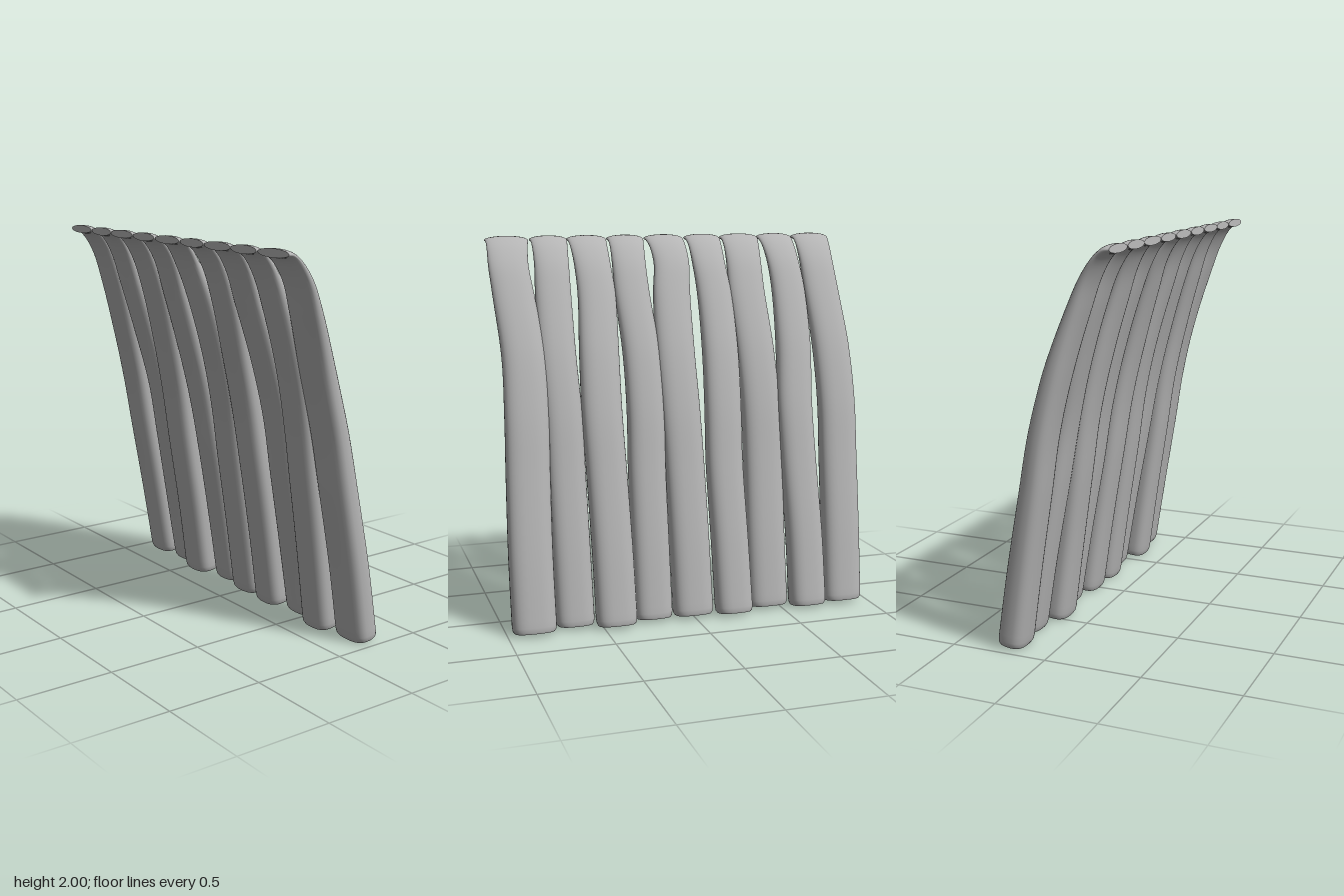
import * as THREE from 'three';

const SIDES = 32, STEPS = 54;

// Shared side profile, bottom to tip: y, z, thickness, width factor
const PROFILE = [
  [0.015, -0.22, 0.15, 1], [0.4, -0.16, 0.145, 1], [0.8, -0.09, 0.135, 1],
  [1.1, -0.037, 0.125, 1], [1.4, 0.037, 0.115, 0.99], [1.7, 0.135, 0.09, 0.95],
  [1.85, 0.195, 0.07, 0.92], [1.94, 0.253, 0.052, 0.94], [1.975, 0.296, 0.045, 0.98],
  [1.98, 0.33, 0.042, 1],
];

// Each slat: centre x, width, z shift at the foot, sideways sway at each profile point
const SLATS = [
  [-0.86, 0.213, -0.005, [0, -0.01, -0.02, -0.027, -0.02, 0, 0.005, 0.003, 0, 0]],
  [-0.645, 0.2, -0.03, [0, 0, 0.01, 0.012, -0.01, -0.018, -0.01, -0.003, 0, 0]],
  [-0.435, 0.217, 0.03, [0, 0, -0.008, -0.01, 0, 0.015, 0.01, 0.004, 0, 0]],
  [-0.22, 0.2, -0.03, [0, 0.005, 0.01, 0, -0.01, -0.01, 0, 0, 0, 0]],
  [0, 0.215, 0.005, [0, 0.003, 0.008, 0.015, 0.02, 0.008, -0.01, -0.006, 0, 0]],
  [0.217, 0.2, 0.015, [0, 0, -0.003, -0.012, -0.01, 0.01, 0.01, 0.004, 0, 0]],
  [0.43, 0.213, -0.035, [0, 0.003, 0.01, 0.016, 0.008, -0.008, -0.003, 0, 0, 0]],
  [0.637, 0.2, 0.03, [0, 0.004, 0.008, 0.01, 0.02, 0.015, 0.008, 0.003, 0, 0]],
  [0.86, 0.228, -0.015, [0, 0, -0.01, -0.02, -0.025, 0, 0.012, 0.006, 0, 0]],
];

// Lofts rounded cross-sections along the curved spine and closes both ends
function slatGeometry([x, width, footShift, sway]) {
  const spine = new THREE.CatmullRomCurve3(PROFILE.map(([y, z], i) =>
    new THREE.Vector3(x + sway[i], y, z + footShift * (1 - y / 1.98))));
  const size = new THREE.CatmullRomCurve3(PROFILE.map(([, , t, w]) => new THREE.Vector3(t, w, 0)));

  // Two extra rings soften the foot edge
  const rings = [[0, 0.9], [0.003, 0.97], [0.009, 1]];
  for (let i = 1; i <= STEPS; i++) rings.push([i / STEPS, 1]);

  const pos = [], index = [];
  for (const [t, scale] of rings) {
    const p = spine.getPoint(t), s = size.getPoint(t), d = spine.getTangent(t);
    const len = Math.hypot(d.y, d.z), ny = d.z / len, nz = -d.y / len;
    const power = 2 / THREE.MathUtils.lerp(2.7, 2, t);
    for (let j = 0; j < SIDES; j++) {
      const a = (j / SIDES) * Math.PI * 2;
      const c = Math.cos(a), n = Math.sin(a);
      const u = Math.sign(c) * Math.abs(c) ** power * width / 2 * s.y * scale;
      const v = Math.sign(n) * Math.abs(n) ** power * s.x / 2 * scale;
      pos.push(p.x + u, p.y + v * ny, p.z + v * nz);
    }
  }
  for (let i = 0; i < rings.length - 1; i++) {
    for (let j = 0; j < SIDES; j++) {
      const a = i * SIDES + j, b = i * SIDES + (j + 1) % SIDES;
      index.push(a, b, a + SIDES, b, b + SIDES, a + SIDES);
    }
  }
  // End caps use their own vertices so their rims stay crisp
  for (const [ring, t] of [[0, 0], [rings.length - 1, 1]]) {
    const start = pos.length / 3;
    pos.push(...pos.slice(ring * SIDES * 3, (ring + 1) * SIDES * 3), ...spine.getPoint(t).toArray());
    for (let j = 0; j < SIDES; j++) {
      const a = start + j, b = start + (j + 1) % SIDES;
      index.push(start + SIDES, ...(t ? [a, b] : [b, a]));
    }
  }
  const geometry = new THREE.BufferGeometry();
  geometry.setAttribute('position', new THREE.Float32BufferAttribute(pos, 3));
  geometry.setIndex(index);
  geometry.computeVertexNormals();
  return geometry;
}

export function createModel() {
  const group = new THREE.Group();
  group.name = 'curvedSlatRow';
  const grey = new THREE.MeshStandardMaterial({ color: 0xb4b4b4 });
  grey.name = 'plain grey';
  SLATS.forEach((slat, i) => {
    const mesh = new THREE.Mesh(slatGeometry(slat), grey);
    mesh.name = `slat${i + 1}`;
    group.add(mesh);
  });
  return group;
}
